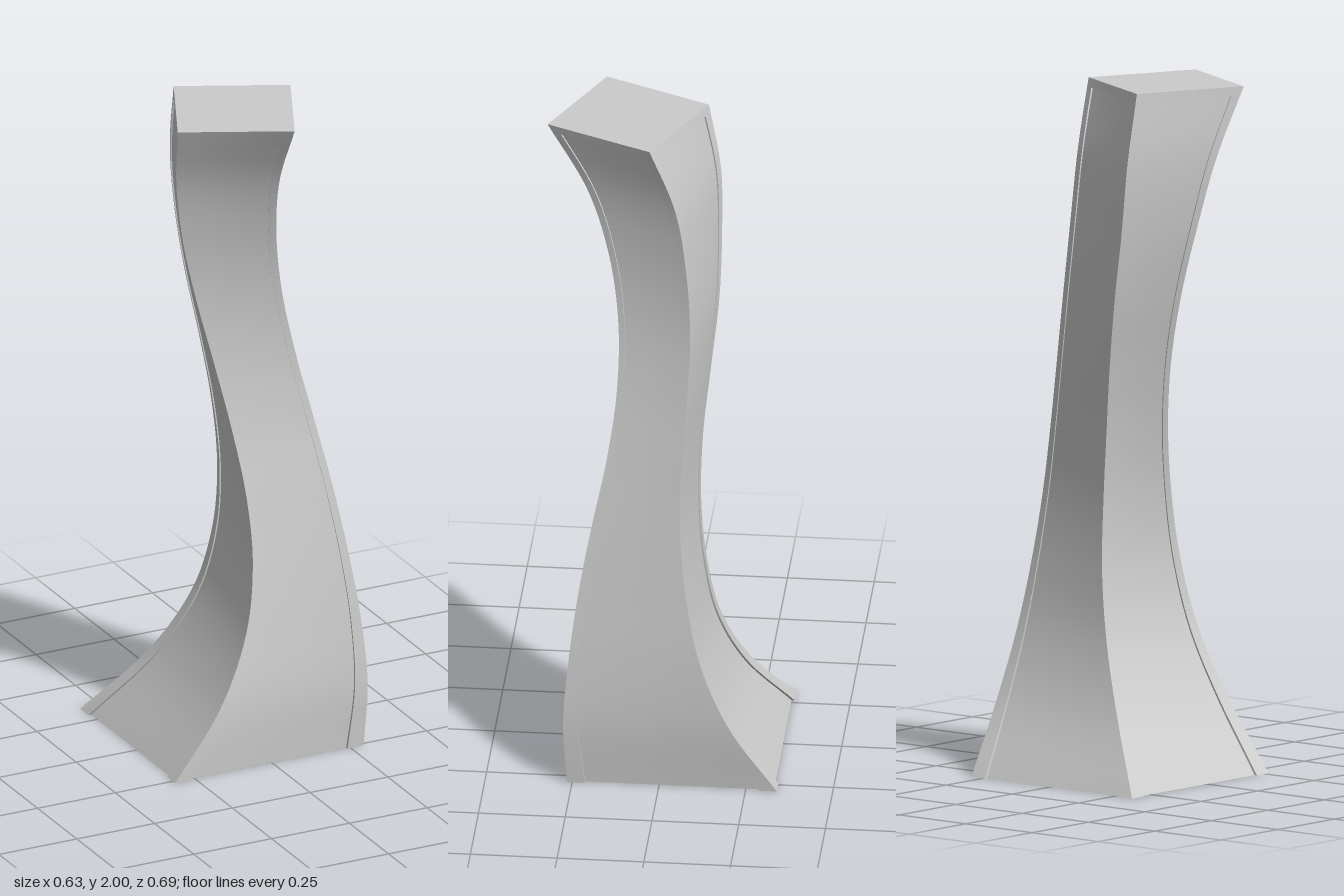
import * as THREE from 'three';

const HEIGHT = 2, PANEL_TOP = 1.975, RIB = 0.83, DEPTH = 0.03, TWIST = THREE.MathUtils.degToRad(25);

// Extents of the bending column, sampled every 0.2 of height
const profile = (values) => {
  const curve = new THREE.CatmullRomCurve3(
    values.map((v, i) => new THREE.Vector3(v, i * 0.2, 0)), false, 'catmullrom');
  return (y) => curve.getPoint(y / HEIGHT).x;
};
const minX = profile([-0.315, -0.17, -0.075, -0.035, -0.035, -0.06, -0.1, -0.15, -0.2, -0.24, -0.275]);
const maxX = profile([0.29, 0.31, 0.305, 0.285, 0.26, 0.23, 0.195, 0.165, 0.15, 0.15, 0.17]);
const minZ = profile([-0.34, -0.22, -0.145, -0.11, -0.095, -0.1, -0.12, -0.14, -0.145, -0.14, -0.105]);
const maxZ = profile([0.265, 0.275, 0.26, 0.235, 0.2, 0.16, 0.135, 0.135, 0.165, 0.23, 0.345]);

// Maps a point of the unit square section (side 0 = front) to the twisted column
function place(side, u, v, y) {
  let x = u, z = v;
  for (let k = 0; k < side; k++) [x, z] = [z, -x];
  const a = TWIST * Math.pow(y / HEIGHT, 1.25);
  const c = Math.cos(a), s = Math.sin(a);
  const px = (x * c - z * s) / (c + s), pz = (x * s + z * c) / (c + s);
  return new THREE.Vector3(
    THREE.MathUtils.lerp(minX(y), maxX(y), (px + 1) / 2), y,
    THREE.MathUtils.lerp(minZ(y), maxZ(y), (pz + 1) / 2));
}

// Smooth grid surface from a function of (s, t) in 0..1
function surface(name, cols, rows, fn, material) {
  const positions = [], index = [];
  for (let j = 0; j <= rows; j++) {
    for (let i = 0; i <= cols; i++) positions.push(...fn(i / cols, j / rows).toArray());
  }
  for (let j = 0; j < rows; j++) {
    for (let i = 0; i < cols; i++) {
      const a = j * (cols + 1) + i, b = a + 1, c = a + cols + 1, d = c + 1;
      index.push(a, b, d, a, d, c);
    }
  }
  const geometry = new THREE.BufferGeometry();
  geometry.setAttribute('position', new THREE.Float32BufferAttribute(positions, 3));
  geometry.setIndex(index);
  geometry.computeVertexNormals();
  const mesh = new THREE.Mesh(geometry, material);
  mesh.name = name;
  return mesh;
}

// Flat end cap; up = 1 faces upward, -1 downward
function cap(name, points, y, up, material) {
  const shape = new THREE.Shape(points.map((p) => new THREE.Vector2(p.x, -up * p.z)));
  const geometry = new THREE.ShapeGeometry(shape);
  geometry.rotateX(-up * Math.PI / 2);
  geometry.translate(0, y, 0);
  const mesh = new THREE.Mesh(geometry, material);
  mesh.name = name;
  return mesh;
}

export function createModel() {
  const model = new THREE.Group();
  model.name = 'twistedColumn';
  const material = new THREE.MeshStandardMaterial({ color: 0xcccccc });
  const inner = 1 - DEPTH;
  const lerp = THREE.MathUtils.lerp;
  const base = [], top = [];

  ['front', 'right', 'back', 'left'].forEach((label, side) => {
    const face = new THREE.Group();
    // side 1 lies towards +x, the model's own left
    face.name = (label === 'right' ? 'left' : label === 'left' ? 'right' : label) + 'Face';
    const add = (name, cols, rows, u0, v0, u1, v1, y0, y1) => face.add(surface(name, cols, rows,
      (s, t) => place(side, lerp(u0, u1, s), lerp(v0, v1, s), lerp(y0, y1, t)), material));

    // Raised corner ribs
    add('cornerRibStart', 1, 64, -1, 1, -RIB, 1, 0, HEIGHT);
    add('cornerRibEnd', 1, 64, RIB, 1, 1, 1, 0, HEIGHT);
    // Recessed panel and its side steps
    add('panelStepStart', 1, 64, -RIB, 1, -RIB, inner, 0, PANEL_TOP);
    add('panel', 8, 64, -RIB, inner, RIB, inner, 0, PANEL_TOP);
    add('panelStepEnd', 1, 64, RIB, inner, RIB, 1, 0, PANEL_TOP);
    // Narrow band and ledge above the panel
    add('topBand', 8, 1, -RIB, 1, RIB, 1, PANEL_TOP, HEIGHT);
    face.add(surface('topLedge', 8, 1,
      (s, t) => place(side, lerp(-RIB, RIB, s), lerp(inner, 1, t), PANEL_TOP), material));
    model.add(face);

    for (const [u, v] of [[-1, 1], [-RIB, 1], [-RIB, inner], [RIB, inner], [RIB, 1]]) {
      base.push(place(side, u, v, 0));
    }
    top.push(place(side, -1, 1, HEIGHT));
  });

  model.add(cap('baseCap', base, 0, -1, material));
  model.add(cap('topCap', top, HEIGHT, 1, material));
  return model;
}
